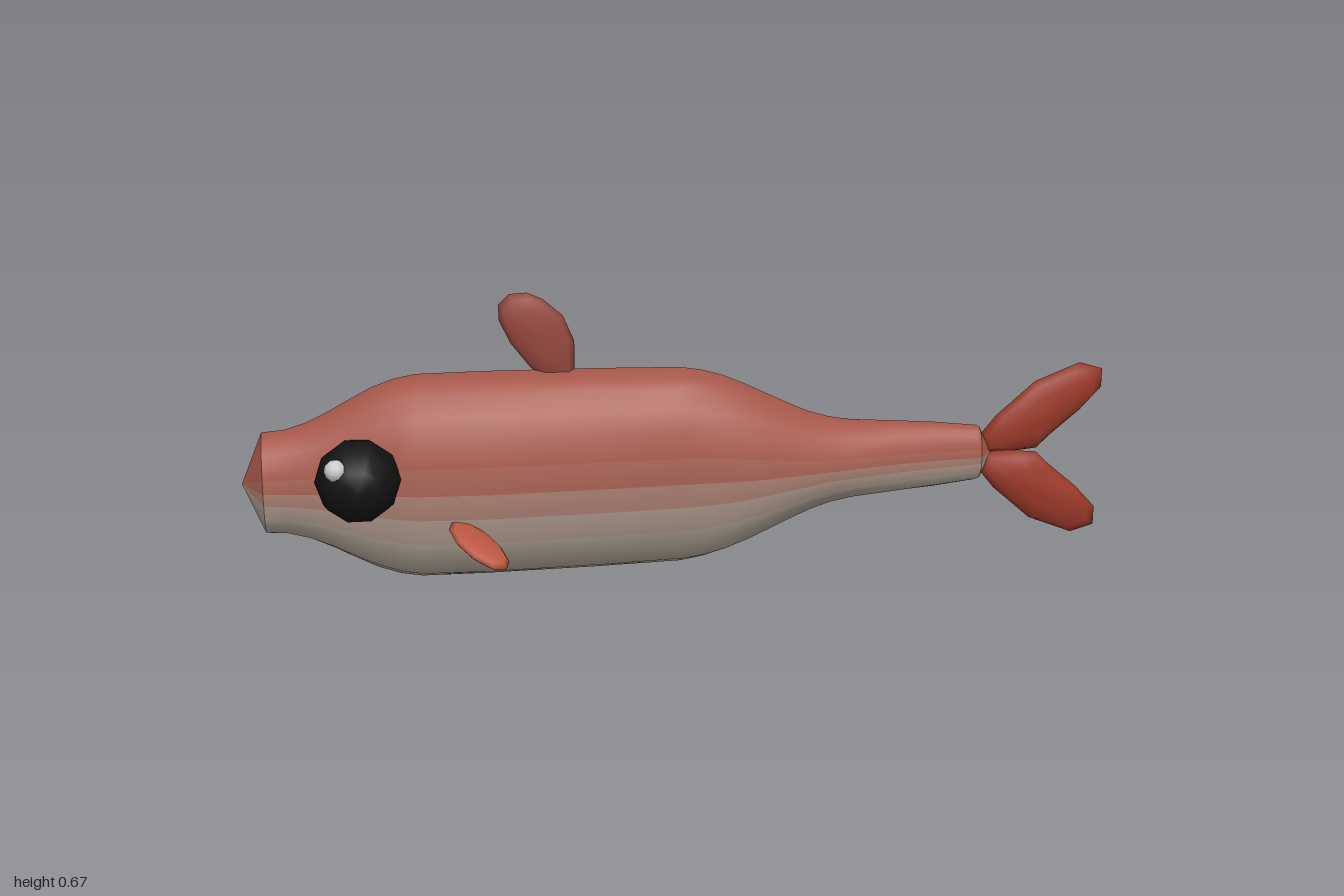
import * as THREE from 'three';

const MID = 0.25; // height of the body axis

const paint = (color, extra = {}) => new THREE.MeshStandardMaterial({ color, ...extra });

function part(name, geometry, material) {
  const mesh = new THREE.Mesh(geometry, material);
  mesh.name = name;
  return mesh;
}

function indexed(positions, index) {
  const g = new THREE.BufferGeometry();
  g.setAttribute('position', new THREE.Float32BufferAttribute(positions, 3));
  g.setIndex(index);
  g.computeVertexNormals();
  return g;
}

// Body stations: x, half height, half width. Repeated stations keep a crisp rim.
const STATIONS = [
  [-1, 0, 0], [-0.95, 0.121, 0.08], [-0.95, 0.121, 0.08], [-0.9, 0.125, 0.086],
  [-0.85, 0.14, 0.093], [-0.8, 0.164, 0.1], [-0.75, 0.192, 0.11], [-0.7, 0.218, 0.12],
  [-0.65, 0.236, 0.131], [-0.6, 0.245, 0.14], [-0.45, 0.246, 0.147], [-0.2, 0.243, 0.142],
  [0, 0.238, 0.135], [0.05, 0.23, 0.134], [0.1, 0.215, 0.133], [0.15, 0.193, 0.13],
  [0.2, 0.168, 0.123], [0.25, 0.143, 0.114], [0.3, 0.12, 0.104], [0.35, 0.104, 0.093],
  [0.4, 0.095, 0.083], [0.5, 0.088, 0.063], [0.6, 0.08, 0.048], [0.7, 0.068, 0.042],
  [0.71, 0.064, 0.039], [0.71, 0.064, 0.039], [0.74, 0, 0],
];

// Twelve-sided loft, each side halved so the colour can fade from back to belly
function makeBody() {
  const N = 24, positions = [], index = [], materials = [];
  const corner = (k) => [Math.cos(k * Math.PI / 6), Math.sin(k * Math.PI / 6)];
  const section = [];
  for (let k = 0; k < N; k++) {
    const [a, b] = [corner(Math.floor(k / 2)), corner(Math.ceil(k / 2))];
    section.push([(a[0] + b[0]) / 2, (a[1] + b[1]) / 2]);
  }
  for (const [x, h, w] of STATIONS)
    for (const [c, s] of section) positions.push(x, MID + h * c, w * s);

  const back = new THREE.Color(0xa6574a), belly = new THREE.Color(0xb0a596);
  const groups = [];
  for (let level = 0; level < N / 2; level++) {
    const start = index.length;
    for (const k of [level, N - 1 - level])
      for (let i = 0; i < STATIONS.length - 1; i++) {
        const n = (k + 1) % N;
        const a = i * N + k, a2 = i * N + n, b = a + N, b2 = a2 + N;
        index.push(a, a2, b, a2, b2, b);
      }
    groups.push([start, index.length - start, level]);
    const y = (section[level][0] + section[level + 1][0]) / 2;
    const fade = THREE.MathUtils.smoothstep(-y, -0.3, 0.65);
    materials.push(paint(back.clone().lerp(belly, fade)));
  }
  const g = indexed(positions, index);
  groups.forEach((args) => g.addGroup(...args));
  return part('body', g, materials);
}

// Lens-shaped fin from a counter-clockwise outline in the xy plane
function finGeometry(outline, thickness) {
  const n = outline.length, positions = [], index = [];
  const cx = outline.reduce((t, p) => t + p[0], 0) / n;
  const cy = outline.reduce((t, p) => t + p[1], 0) / n;
  const rows = [[0, 1], [0.5, 0.9], [0.85, 0.55], [1, 0], [0.85, -0.55], [0.5, -0.9], [0, -1]];
  for (const [s, t] of rows)
    for (const [x, y] of outline)
      positions.push(cx + (x - cx) * s, cy + (y - cy) * s, t * thickness);
  for (let i = 0; i < rows.length - 1; i++)
    for (let j = 0; j < n; j++) {
      const a = i * n + j, a2 = i * n + (j + 1) % n;
      index.push(a, a + n, a2, a2, a + n, a2 + n);
    }
  return indexed(positions, index);
}

export function createModel() {
  const model = new THREE.Group();
  model.name = 'fish';
  model.add(makeBody());

  // Dorsal fin
  const dorsal = [
    [-0.24, 0.47], [-0.24, 0.56], [-0.265, 0.62], [-0.31, 0.66], [-0.345, 0.676],
    [-0.385, 0.674], [-0.41, 0.65], [-0.41, 0.615], [-0.385, 0.56], [-0.34, 0.5], [-0.3, 0.47],
  ];
  model.add(part('dorsalFin', finGeometry(dorsal, 0.018), paint(0x96483e)));

  // Tail fin, two mirrored lobes
  const lobe = [
    [0.72, 0.25], [0.8, 0.25], [0.85, 0.255], [0.88, 0.285], [0.95, 0.345], [1, 0.4],
    [1, 0.445], [0.945, 0.462], [0.84, 0.42], [0.75, 0.34], [0.71, 0.29],
  ];
  const lowerLobe = lobe.map(([x, y]) => [x, 2 * MID - y]).reverse();
  const tailPaint = paint(0x9c3a2a);
  model.add(part('upperTailLobe', finGeometry(lobe, 0.025), tailPaint));
  model.add(part('lowerTailLobe', finGeometry(lowerLobe, 0.025), tailPaint));

  // Leaf outline of the side fins
  const leaf = [];
  for (let i = 0; i < 10; i++) {
    const a = i / 10 * Math.PI * 2;
    leaf.push([0.09 * Math.cos(a), 0.047 * Math.sin(a)]);
  }
  const sideFin = finGeometry(leaf, 0.013);
  const finPaint = paint(0xb85540), eyePaint = paint(0x121212), glintPaint = paint(0xdddddd);

  for (const side of [1, -1]) {
    const label = side > 0 ? 'front' : 'back';

    // Side fin sweeping outward, back and down
    const along = new THREE.Vector3(0.11, -0.075, 0.115 * side).normalize();
    const across = new THREE.Vector3(0.72, 0, -0.69 * side).normalize();
    const normal = along.clone().cross(across);
    const fin = part(label + 'SideFin', sideFin, finPaint);
    fin.quaternion.setFromRotationMatrix(new THREE.Matrix4().makeBasis(along, across, normal));
    fin.position.set(-0.475, 0.146, 0.186 * side);
    model.add(fin);

    // Bulging eye with a small glint
    const eye = part(label + 'Eye', new THREE.SphereGeometry(0.097, 10, 6), eyePaint);
    eye.rotation.x = side * Math.PI / 2;
    eye.position.set(-0.737, 0.289, 0.12 * side);
    const glint = part(label + 'EyeGlint', new THREE.SphereGeometry(0.025, 10, 6), glintPaint);
    glint.position.set(-0.785, 0.335, 0.18 * side);
    model.add(eye, glint);
  }
  return model;
}
